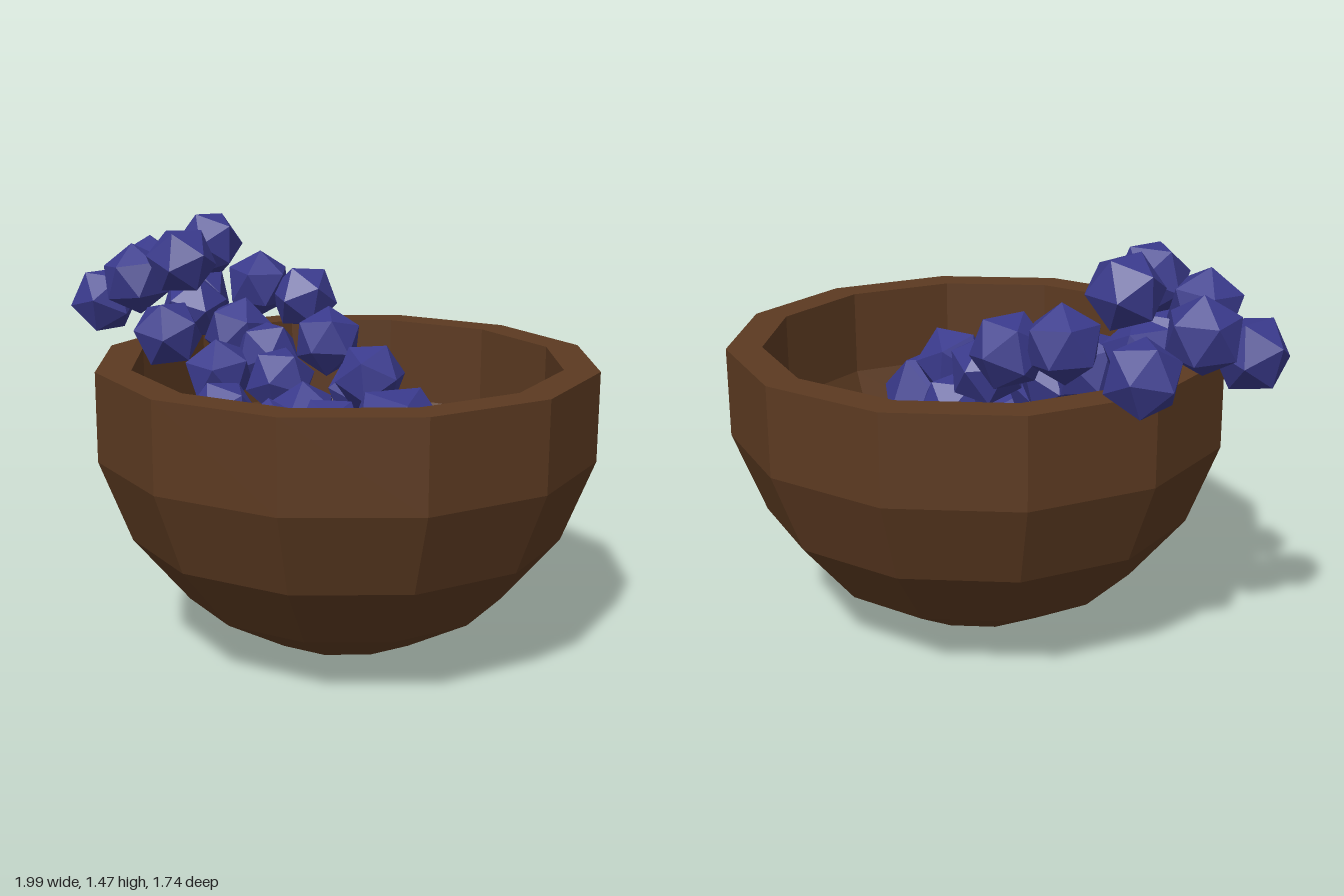
import * as THREE from 'three';

const bowlMaterial = new THREE.MeshStandardMaterial({ name: 'brown wood', color: 0x5c3a21, flatShading: true });
const grapeMaterial = new THREE.MeshStandardMaterial({ name: 'deep blue', color: 0x3a3a8c, flatShading: true });

// Repeatable tilt for each grape
let seed = 7;
function random() {
  seed = (seed * 16807) % 2147483647;
  return seed / 2147483647;
}

// Thick twelve-sided bowl: outer wall upward, then inner wall downward
function createBowl() {
  const wallScale = 0.86, waist = 0.73, rim = 1.04;
  const outer = [[0, 0], [0.305, 0.06], [0.565, 0.21], [0.76, 0.445], [0.87, waist]];
  const inner = outer.map(([r, y]) => [r * wallScale, waist - (waist - y) * wallScale]).reverse();
  const profile = [...outer, [0.87, rim], [0.87 * wallScale, rim], ...inner];
  const geometry = new THREE.LatheGeometry(profile.map(([r, y]) => new THREE.Vector2(r, y)), 12);
  const bowl = new THREE.Mesh(geometry, bowlMaterial);
  bowl.name = 'bowl';
  bowl.position.x = 0.13;
  return bowl;
}

function createGrape([x, y, z, radius = 0.13]) {
  const grape = new THREE.Mesh(new THREE.IcosahedronGeometry(radius, 0), grapeMaterial);
  grape.name = 'grape';
  grape.position.set(x, y, z);
  grape.rotation.set(random() * 6.28, random() * 6.28, random() * 6.28);
  return grape;
}

// Grape centres, with a radius for the larger ones
const overRim = [
  [-0.875, 1.155, -0.28], [-0.61, 1.14, -0.59], [-0.76, 1.25, -0.46],
  [-0.7, 1.26, -0.16], [-0.52, 1.335, -0.15], [-0.51, 1.36, -0.435],
  [-0.34, 1.2, -0.52], [-0.16, 1.16, -0.51], [-0.54, 1.13, -0.33],
  [-0.53, 1.09, -0.02],
];
const insideBowl = [
  [-0.35, 1.06, -0.28], [-0.23, 0.99, -0.24], [-0.02, 1.03, -0.33],
  [0.12, 0.86, -0.27], [-0.35, 0.95, -0.05], [-0.14, 0.92, -0.11],
  [-0.27, 0.85, 0.16], [0.2, 0.96, -0.07], [0, 0.84, 0.08],
  [-0.06, 0.82, 0.29], [0.14, 0.84, 0.27],
  [-0.16, 0.68, 0.37, 0.18], [0.18, 0.68, 0.36, 0.19],
  [0.32, 0.78, 0.03, 0.19], [0.03, 0.72, -0.05, 0.17],
];

export function createModel() {
  const model = new THREE.Group();
  model.name = 'bowl of grapes';
  const bunch = new THREE.Group();
  bunch.name = 'grape bunch';
  for (const spec of [...overRim, ...insideBowl]) bunch.add(createGrape(spec));
  model.add(createBowl(), bunch);
  return model;
}
